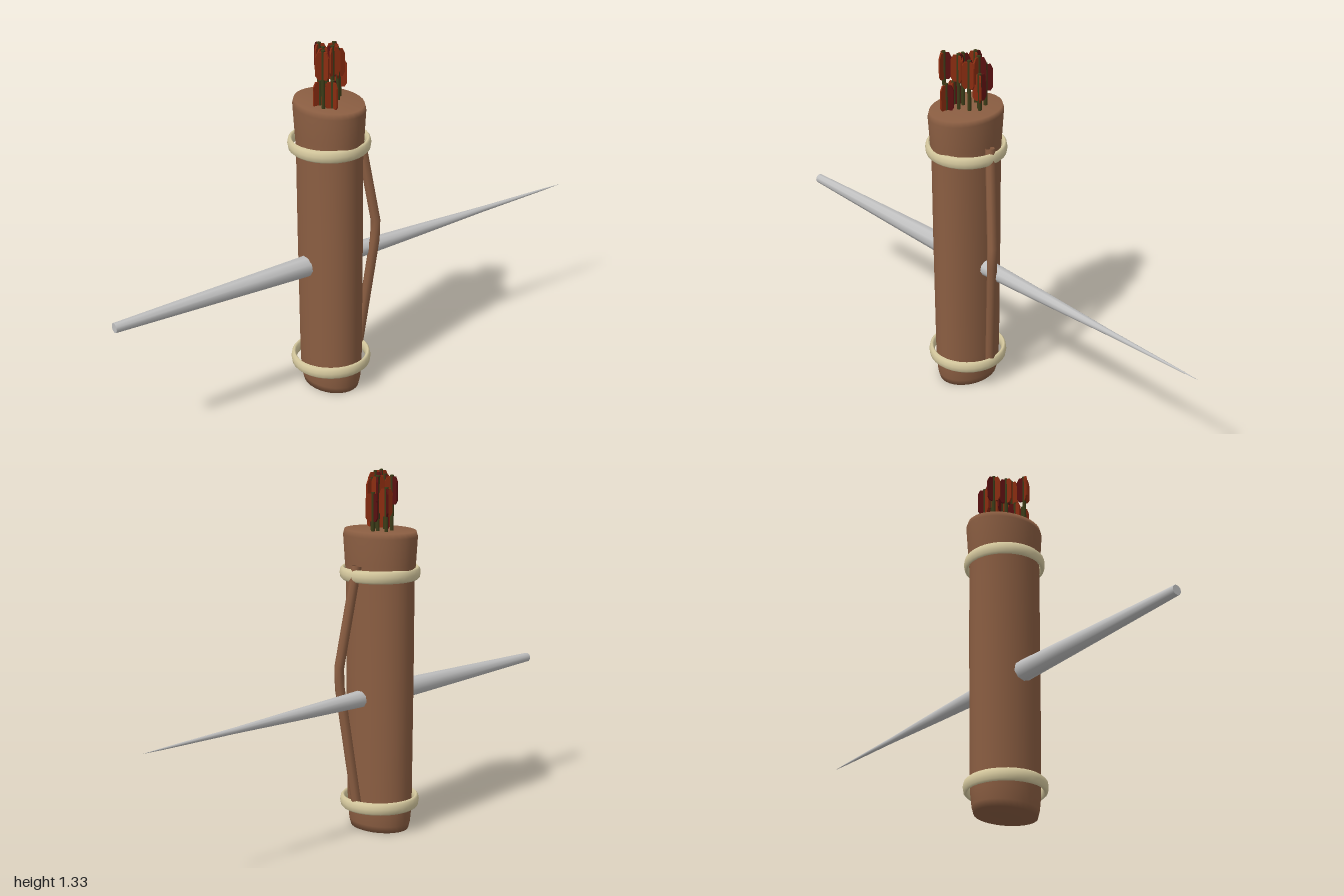
import * as THREE from 'three';

const mat = (name, color, side = THREE.FrontSide) => {
  const m = new THREE.MeshStandardMaterial({ color, side });
  m.name = name;
  return m;
};
const V2 = (p) => new THREE.Vector2(p[0], p[1]);

export function createModel() {
  const model = new THREE.Group();
  const leather = mat('brown leather', 0x8b5e42);
  const cord = mat('pale cord', 0xd8cba0);
  const steel = mat('grey steel', 0xc0c0c0);
  const red = mat('red feather', 0x8a2c10);
  const darkRed = mat('dark red feather', 0x5a1010);
  const olive = mat('olive shaft', 0x3c3c18);
  const ZC = 0.12;

  const add = (name, geo, material, parent = model) => {
    const m = new THREE.Mesh(geo, material);
    m.name = name;
    parent.add(m);
    return m;
  };

  // Oval body, closed at both ends
  const body = add('quiverBody', new THREE.LatheGeometry([
    [0, 0], [0.119, 0], [0.126, 0.025], [0.131, 0.07], [0.133, 0.13], [0.137, 0.6],
    [0.138, 0.94], [0.143, 1.0], [0.15, 1.1], [0.144, 1.12], [0, 1.12],
  ].map(V2), 32), leather);
  body.scale.z = 0.785;
  body.position.z = ZC;

  // Round binding rings, thin and tall in section
  for (const [name, y] of [['lowerRing', 0.102], ['upperRing', 0.964]]) {
    const geo = new THREE.TorusGeometry(0.138, 0.01, 8, 32);
    geo.rotateX(Math.PI / 2);
    geo.scale(1, 2.35, 1);
    add(name, geo, cord).position.set(0, y, ZC);
  }

  // Carrying strap, bent at the middle
  const strapPath = new THREE.CurvePath();
  const top = new THREE.Vector3(0, 1.0, -0.003);
  const mid = new THREE.Vector3(0.042, 0.6, -0.058);
  const low = new THREE.Vector3(0, 0.1, -0.003);
  strapPath.add(new THREE.LineCurve3(top, mid));
  strapPath.add(new THREE.LineCurve3(mid, low));
  add('strap', new THREE.TubeGeometry(strapPath, 12, 0.018, 8, false),
    mat('strap leather', 0x8b5e42, THREE.DoubleSide));

  // Long faceted spike running front to back through the body
  const spike = new THREE.LatheGeometry([
    [0, -1], [0.004, -0.9], [0.011, -0.6], [0.022, -0.3], [0.03, -0.05],
    [0.039, 0.22], [0.033, 0.45], [0.018, 1], [0.018, 1], [0, 1],
  ].map(V2), 9);
  spike.rotateX(Math.PI / 2);
  add('spike', spike, steel).position.y = 0.505;

  // Arrow: shaft plus three notched feather vanes
  const vane = new THREE.Shape([
    [0, 0], [0.018, 0], [0.027, 0.014], [0.027, 0.082], [0.018, 0.1], [0, 0.1],
  ].map(V2));
  const vaneGeo = new THREE.ExtrudeGeometry(vane, { depth: 0.006, bevelEnabled: false });
  vaneGeo.translate(0, 0, -0.003);
  const shaftGeo = new THREE.CylinderGeometry(0.007, 0.007, 1, 8);
  const arrows = [ // x, z, top height, turn
    [-0.062, 0.085, 1.28, 0.4], [-0.052, 0.125, 1.32, 1.0], [-0.025, 0.08, 1.32, 0.1],
    [-0.005, 0.14, 1.32, 0.7], [0.012, 0.09, 1.31, 1.5], [0.05, 0.178, 1.33, 0.2],
    [0.03, 0.125, 1.33, 1.2], [0.066, 0.15, 1.22, 0.0], [-0.015, 0.065, 1.26, 0.9],
    [0.015, 0.168, 1.21, 0.5],
  ];
  arrows.forEach(([x, z, h, turn], i) => {
    const arrow = new THREE.Group();
    arrow.name = 'arrow' + (i + 1);
    arrow.position.set(x, 0, z);
    arrow.rotation.y = turn;
    model.add(arrow);
    const shaft = add('shaft', shaftGeo, olive, arrow);
    shaft.scale.y = h - 1.05;
    shaft.position.y = (h + 1.05) / 2;
    for (let k = 0; k < 3; k++) {
      const v = add('vane', vaneGeo, k === 1 ? darkRed : red, arrow);
      v.rotation.y = k * Math.PI * 2 / 3;
      v.position.y = h - 0.105;
    }
  });
  return model;
}
